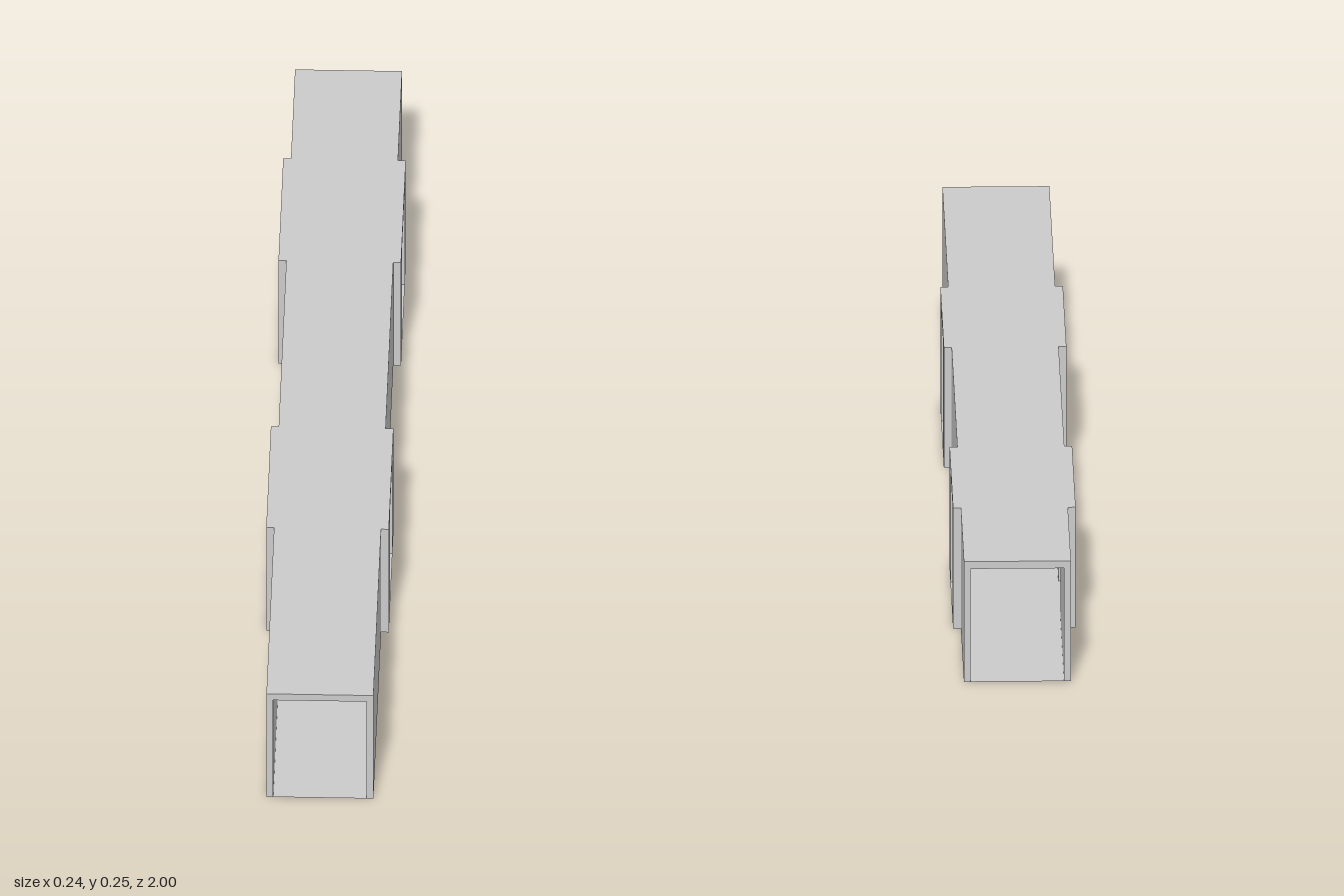
import * as THREE from 'three';

const INNER = 0.09, OUTER = 0.103, FRAME = 0.118; // half widths
const CEILING = 0.233, TOP = 0.248;
// z extents of each thickened door frame and its opening, front to back
const doors = [
  { frame: [0.467, 0.144], open: [0.393, 0.214] },
  { frame: [-0.388, -0.714], open: [-0.467, -0.647] },
];

const material = new THREE.MeshStandardMaterial({ color: 0xcccccc, side: THREE.DoubleSide });

// Plan points [x, z] along the outer face, front to back
const outerFace = [[OUTER, 1]];
for (const { frame: [a, b] } of doors) {
  outerFace.push([OUTER, a], [FRAME, a], [FRAME, b], [OUTER, b]);
}
outerFace.push([OUTER, -1]);

const planShape = (points) => new THREE.Shape(points.map(([x, z]) => new THREE.Vector2(x, -z)));

function addPart(group, name, geometry, y = 0) {
  geometry.rotateX(-Math.PI / 2);
  const mesh = new THREE.Mesh(geometry, material);
  mesh.name = name;
  mesh.position.y = y;
  group.add(mesh);
}

const raise = (points, depth) =>
  new THREE.ExtrudeGeometry(planShape(points), { depth, bevelEnabled: false });

export function createModel() {
  const group = new THREE.Group();
  group.name = 'corridor';

  // Floor sheet and roof slab share the full stepped outline
  const outline = [...outerFace, ...outerFace.map(([x, z]) => [-x, z]).reverse()];
  addPart(group, 'floor', new THREE.ShapeGeometry(planShape(outline)));
  addPart(group, 'roof', raise(outline, TOP - CEILING), CEILING);

  // Wall sections between the door openings, mirrored on both sides
  const cuts = [1, ...doors.flatMap((d) => d.open), -1];
  for (const [side, label] of [[1, 'left'], [-1, 'right']]) {
    for (let i = 0; i < cuts.length; i += 2) {
      const [front, back] = [cuts[i], cuts[i + 1]];
      const points = [[INNER, front]];
      if (i > 0) points.push([FRAME, front]);
      points.push(...outerFace.filter(([, z]) => z <= front && z >= back));
      if (i + 2 < cuts.length) points.push([FRAME, back]);
      points.push([INNER, back]);
      addPart(group, `${label}Wall${i / 2 + 1}`, raise(points.map(([x, z]) => [side * x, z]), CEILING));
    }
  }
  return group;
}
